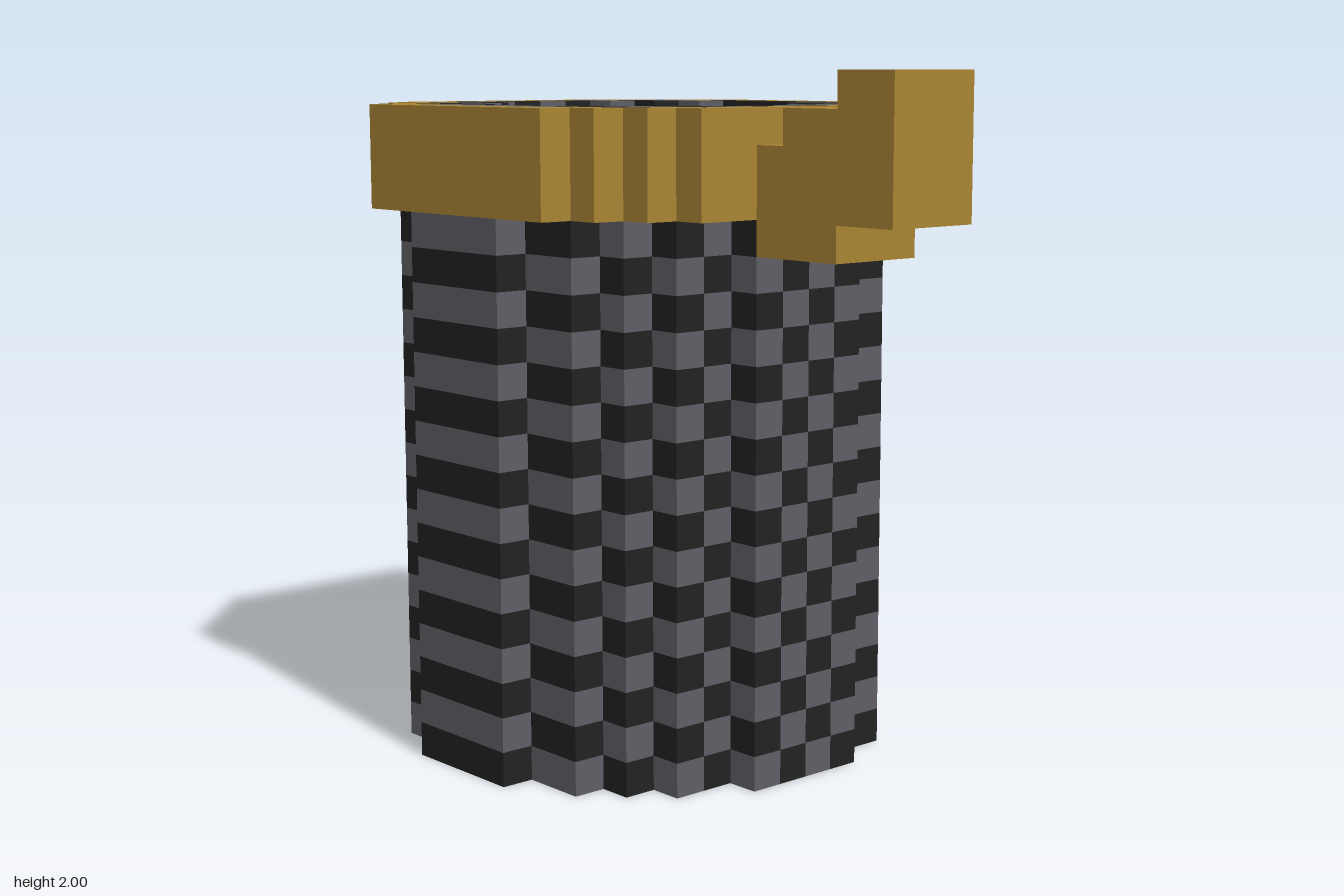
import * as THREE from 'three';

const S = 0.1;                 // block size
const N = 14;                  // blocks across
const LAYERS = 19;             // blocks high
const RIM_START = 16;          // first layer of the rim

// Half depth, in blocks, for each block column counted outward from the centre
const WALL = [7, 7, 6, 6, 5, 4, 2];
const HOLE = [5, 5, 4, 3, 2, 0, 0];
const RIM = [7, 7, 7, 7, 6, 5, 4];
const LINER = [6, 6, 6, 5, 5, 3, 0];

const fromCentre = (i) => (i >= N / 2 ? i - N / 2 : N / 2 - 1 - i);

// Which part fills a block, or null when it is empty
function partAt(i, j, k) {
  if (i < 0 || i >= N || k < 0 || k >= N || j < 0 || j >= LAYERS) return null;
  const a = fromCentre(i);
  const b = fromCentre(k);
  if (b < HOLE[a]) return null;
  const inRim = j >= RIM_START;
  if (b < (inRim ? LINER : WALL)[a]) return (i + j) % 2 === 0 ? 'darkChecks' : 'greyChecks';
  return inRim && b < RIM[a] ? 'rim' : null;
}

// Exposed block faces of one part
function blockGeometry(part) {
  const positions = [];
  const normals = [];
  const index = [];
  const origin = [-0.7, 0, -0.95];
  const addFace = (cell, d, sign) => {
    const u = (d + 1) % 3;
    const v = (d + 2) % 3;
    const base = positions.length / 3;
    const normal = [0, 0, 0];
    normal[d] = sign;
    for (const [cu, cv] of [[0, 0], [1, 0], [1, 1], [0, 1]]) {
      const p = [...cell];
      p[d] += sign > 0 ? 1 : 0;
      p[u] += cu;
      p[v] += cv;
      positions.push(...p.map((n, axis) => origin[axis] + n * S));
      normals.push(...normal);
    }
    const order = sign > 0 ? [0, 1, 2, 0, 2, 3] : [0, 2, 1, 0, 3, 2];
    index.push(...order.map((n) => base + n));
  };
  for (let i = 0; i < N; i++) {
    for (let j = 0; j < LAYERS; j++) {
      for (let k = 0; k < N; k++) {
        if (partAt(i, j, k) !== part) continue;
        for (let d = 0; d < 3; d++) {
          for (const sign of [-1, 1]) {
            const next = [i, j, k];
            next[d] += sign;
            if (!partAt(...next)) addFace([i, j, k], d, sign);
          }
        }
      }
    }
  }
  const geometry = new THREE.BufferGeometry();
  geometry.setAttribute('position', new THREE.Float32BufferAttribute(positions, 3));
  geometry.setAttribute('normal', new THREE.Float32BufferAttribute(normals, 3));
  geometry.setIndex(index);
  return geometry;
}

// Stepped side profile (z, y), extruded across x
function handleGeometry() {
  const profile = [
    [0.45, 1.5], [0.75, 1.5], [0.75, 1.6], [0.95, 1.6], [0.95, 2],
    [0.75, 2], [0.75, 1.9], [0.55, 1.9], [0.55, 1.8], [0.45, 1.8],
  ];
  const shape = new THREE.Shape(profile.map(([z, y]) => new THREE.Vector2(z, y)));
  const geometry = new THREE.ExtrudeGeometry(shape, { depth: 0.3, bevelEnabled: false });
  return geometry.rotateY(-Math.PI / 2).translate(0.1, 0, 0);
}

function makeMaterial(name, color) {
  const material = new THREE.MeshStandardMaterial({ color });
  material.name = name;
  return material;
}

export function createModel() {
  const group = new THREE.Group();
  group.name = 'checkeredTube';
  const gold = makeMaterial('gold', 0xa98534);
  const dark = makeMaterial('dark', 0x222222);
  const grey = makeMaterial('grey', 0x605f66);

  const add = (name, geometry, material) => {
    const mesh = new THREE.Mesh(geometry, material);
    mesh.name = name;
    group.add(mesh);
  };

  // Hollow checkered tube
  add('darkChecks', blockGeometry('darkChecks'), dark);
  add('greyChecks', blockGeometry('greyChecks'), grey);
  // Overhanging rim and stepped front handle
  add('rim', blockGeometry('rim'), gold);
  add('handle', handleGeometry(), gold);
  return group;
}
